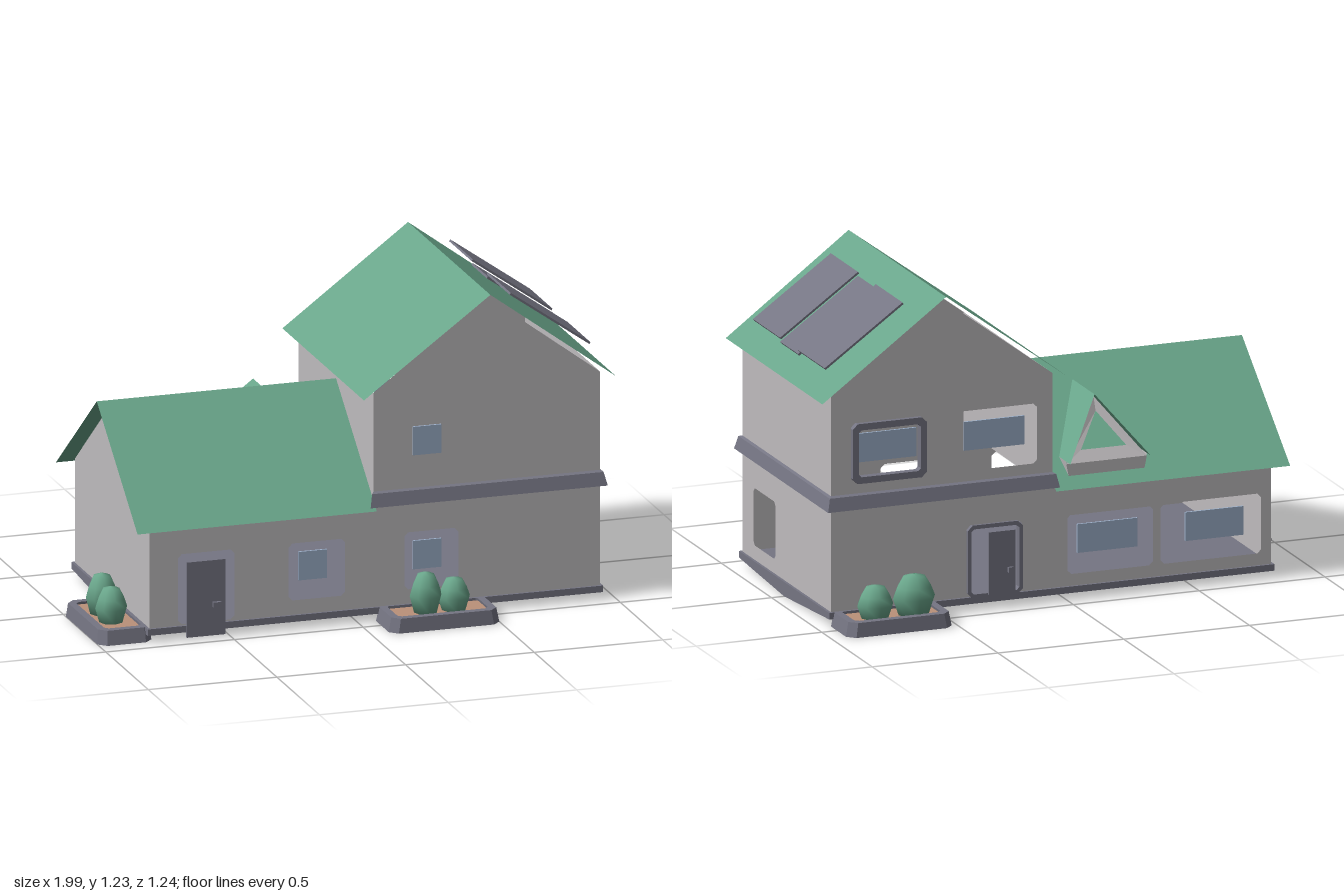
import * as THREE from 'three';

const mat = (name, color) => new THREE.MeshStandardMaterial({ name, color, side: THREE.DoubleSide });

export function createModel() {
  const house = new THREE.Group();
  house.name = 'house';
  const plaster = mat('plaster', 0xbfbcbe);
  const green = mat('green', 0x69a58a);
  const slate = mat('slate', 0x757583);
  const glass = mat('glass', 0x9db0ca);
  const soil = mat('soil', 0xbb9179);

  const add = (name, geo, material, parent = house) => {
    const m = new THREE.Mesh(geo, material);
    m.name = name;
    parent.add(m);
    return m;
  };
  const box = (name, material, x0, x1, y0, y1, z0, z1) =>
    add(name, new THREE.BoxGeometry(x1 - x0, y1 - y0, z1 - z0), material)
      .position.set((x0 + x1) / 2, (y0 + y1) / 2, (z0 + z1) / 2);

  // Rectangle with cut corners, as a shape or a hole
  const cutRect = (x0, x1, y0, y1, c = 0.02, Kind = THREE.Shape) =>
    new Kind([[x0 + c, y0], [x1 - c, y0], [x1, y0 + c], [x1, y1 - c], [x1 - c, y1], [x0 + c, y1], [x0, y1 - c], [x0, y0 + c]]
      .map(([x, y]) => new THREE.Vector2(x, y)));
  const polygon = (pts, holes = []) => {
    const s = new THREE.Shape(pts.map(([x, y]) => new THREE.Vector2(x, y)));
    for (const h of holes) s.holes.push(cutRect(...h, 0.015, THREE.Path));
    return s;
  };
  // Flat faces, each a fan of corners
  const sheet = (name, material, faces) => {
    const pos = [];
    for (const f of faces)
      for (let i = 1; i < f.length - 1; i++) pos.push(...f[0], ...f[i], ...f[i + 1]);
    const g = new THREE.BufferGeometry();
    g.setAttribute('position', new THREE.Float32BufferAttribute(pos, 3));
    g.computeVertexNormals();
    return add(name, g, material);
  };

  // Front and back walls, with openings
  const outline = [[-0.81, 0.04], [0.94, 0.04], [0.94, 0.88], [0.5, 1.21], [0.06, 0.88], [0.06, 0.455], [-0.81, 0.455]];
  const frontHoles = [[-0.7, -0.48, 0.06, 0.33], [-0.27, -0.05, 0.11, 0.33], [0.18, 0.39, 0.11, 0.33], [0.17, 0.39, 0.55, 0.77]];
  const backHoles = [[-0.77, -0.37, 0.1, 0.33], [-0.34, 0, 0.1, 0.33], [0.18, 0.4, 0.06, 0.33], [0.12, 0.44, 0.54, 0.77], [0.565, 0.86, 0.54, 0.77]];
  add('frontWall', new THREE.ShapeGeometry(polygon(outline, frontHoles)), plaster).position.z = 0.44;
  add('backWall', new THREE.ShapeGeometry(polygon(outline, backHoles)), plaster).position.z = -0.44;

  // Walls that face sideways, drawn as z against y
  const sideWall = (name, x, pts, holes) => {
    const m = add(name, new THREE.ShapeGeometry(polygon(pts, holes)), plaster);
    m.rotation.y = -Math.PI / 2;
    m.position.x = x;
  };
  sideWall('leftSideWall', 0.94, [[-0.44, 0.04], [0.44, 0.04], [0.44, 0.88], [-0.44, 0.88]], [[0.11, 0.33, 0.11, 0.33]]);
  sideWall('upperInnerWall', 0.06, [[-0.44, 0.43], [0.44, 0.43], [0.44, 0.88], [-0.44, 0.88]]);
  sideWall('wingGableWall', -0.81, [[-0.44, 0.04], [0.44, 0.04], [0.44, 0.455], [0, 0.8], [-0.44, 0.455]]);

  // Roofs
  sheet('mainRoof', green, [0.01, 0.99].map(x =>
    [[x, 0.868, 0.48], [0.5, 1.23, 0.485], [0.5, 1.23, -0.485], [x, 0.868, -0.48]]));
  sheet('wingRoof', green, [0.48, -0.48].map(z =>
    [[-0.87, 0.435, z], [0.06, 0.435, z], [0.06, 0.81, 0], [-0.87, 0.81, 0]]));

  // Dormer on the back slope
  sheet('dormerRoof', green, [0, -0.32].map(x =>
    [[x, 0.53, -0.47], [x, 0.53, -0.33], [-0.16, 0.74, -0.09], [-0.16, 0.74, -0.31]]));
  sheet('dormerGable', plaster, [
    [[0, 0.52, -0.43], [-0.16, 0.73, -0.3], [-0.16, 0.68, -0.32], [-0.07, 0.56, -0.4]],
    [[-0.32, 0.52, -0.43], [-0.16, 0.73, -0.3], [-0.16, 0.68, -0.32], [-0.25, 0.56, -0.4]],
    [[0, 0.52, -0.43], [-0.07, 0.56, -0.4], [-0.25, 0.56, -0.4], [-0.32, 0.52, -0.43]],
    [[0, 0.52, -0.43], [-0.32, 0.52, -0.43], [-0.31, 0.47, -0.43], [-0.01, 0.47, -0.43]],
    [[-0.01, 0.47, -0.43], [0, 0.53, -0.43], [0, 0.53, -0.35]],
    [[-0.31, 0.47, -0.43], [-0.32, 0.53, -0.43], [-0.32, 0.53, -0.35]],
  ]);

  // Solar panels and the lower bridge between them
  const tilt = Math.atan2(0.22, 0.31);
  for (const [name, z, w, drop] of [['solarPanelFront', 0.22, 0.27, 0], ['solarPanelBack', -0.225, 0.265, 0], ['solarBridge', -0.005, 0.18, 0.015]]) {
    const m = add(name, new THREE.BoxGeometry(0.38, 0.008, w), slate);
    m.rotation.z = -tilt;
    m.position.set(0.775, 1.075 - drop, z);
  }

  // Belt course around the tall part, flaring downward
  const a = [0.05, 0.95], b = [0.04, 0.962];
  const ring = (x, z, y) => [[x[0], y, z], [x[1], y, z], [x[1], y, -z], [x[0], y, -z]];
  const levels = [ring([0.06, 0.94], 0.44, 0.5), ring(a, 0.455, 0.495), ring(b, 0.468, 0.445), ring([0.06, 0.94], 0.44, 0.45)];
  const belt = [];
  for (let l = 0; l < 3; l++)
    for (let s = 0; s < 3; s++)
      belt.push([levels[l][s], levels[l][s + 1], levels[l + 1][s + 1], levels[l + 1][s]]);
  sheet('beltCourse', slate, belt);

  // Foundation with a shallow keel
  const keel = polygon([[-0.45, 0.03], [0, 0], [0.45, 0.03], [0.45, 0.055], [-0.45, 0.055]]);
  const foundation = add('foundation', new THREE.ExtrudeGeometry(keel, { depth: 1.77, bevelEnabled: false }), slate);
  foundation.rotation.y = -Math.PI / 2;
  foundation.position.x = 0.95;

  // Window panes set inside the openings
  for (const [x0, x1, y0, y1, z] of [
    [-0.215, -0.105, 0.17, 0.28, 0.39], [0.23, 0.34, 0.17, 0.28, 0.39], [0.23, 0.34, 0.61, 0.72, 0.39],
    [-0.71, -0.48, 0.17, 0.28, -0.41], [-0.29, -0.05, 0.17, 0.28, -0.41],
    [0.16, 0.4, 0.61, 0.72, -0.41], [0.59, 0.82, 0.61, 0.72, -0.41]])
    box('windowPane', glass, x0, x1, y0, y1, z - 0.004, z + 0.004);

  // Frames on the back wall
  const frame = (name, x0, x1, y0, y1, t, z, depth) => {
    const s = cutRect(x0, x1, y0, y1);
    s.holes.push(cutRect(x0 + t, x1 - t, y0 + t, y1 - t, 0.01, THREE.Path));
    add(name, new THREE.ExtrudeGeometry(s, { depth, bevelEnabled: false }), slate).position.z = z;
  };
  frame('upperWindowFrame', 0.565, 0.86, 0.54, 0.77, 0.025, -0.458, 0.03);
  frame('backDoorFrame', 0.18, 0.4, 0.05, 0.33, 0.015, -0.45, 0.03);

  // Doors with handles
  box('frontDoor', slate, -0.67, -0.52, 0.01, 0.3, 0.445, 0.455);
  box('frontDoorHandle', slate, -0.57, -0.54, 0.12, 0.14, 0.455, 0.468);
  box('backDoor', slate, 0.215, 0.32, 0.06, 0.3, -0.46, -0.45);
  box('backDoorHandle', slate, 0.225, 0.245, 0.14, 0.16, -0.47, -0.46);

  // Planters: a tapering rim, soil and a pair of bushes
  const bushProfile = [[0.001, 0.04], [0.045, 0.045], [0.062, 0.11], [0.05, 0.15], [0.032, 0.19], [0.001, 0.2]]
    .map(([r, y]) => new THREE.Vector2(r, y));
  const planter = (name, cx, cz, w, d, bushes) => {
    const g = new THREE.Group();
    g.name = name;
    g.position.set(cx, 0, cz);
    house.add(g);
    const s = cutRect(-w / 2, w / 2, -d / 2, d / 2, 0.03);
    const t = 0.03;
    s.holes.push(cutRect(-w / 2 + t, w / 2 - t, -d / 2 + t, d / 2 - t, 0.015, THREE.Path));
    const rim = new THREE.ExtrudeGeometry(s, { depth: 0.055, bevelEnabled: false }).rotateX(-Math.PI / 2);
    const p = rim.attributes.position;
    for (let i = 0; i < p.count; i++)
      if (p.getY(i) > 0.03) p.setXYZ(i, p.getX(i) * 0.95, p.getY(i), p.getZ(i) * 0.95);
    rim.computeVertexNormals();
    add('planterRim', rim, slate, g);
    const bed = (nm, y, m) =>
      add(nm, new THREE.ShapeGeometry(cutRect(-w / 2 + 0.02, w / 2 - 0.02, -d / 2 + 0.02, d / 2 - 0.02)).rotateX(-Math.PI / 2), m, g).position.y = y;
    bed('planterSoil', 0.045, soil);
    bed('planterBottom', 0.004, slate);
    for (const [x, z, sx, sy, sz] of bushes) {
      const m = add('bush', new THREE.LatheGeometry(bushProfile, 8), green, g);
      m.position.set(x, 0, z);
      m.scale.set(sx, sy, sz);
    }
  };
  planter('frontPlanter', 0.285, 0.515, 0.43, 0.21, [[-0.05, 0.01, 1, 1, 1], [0.06, 0.01, 1, 0.85, 0.95]]);
  planter('backPlanter', 0.73, -0.515, 0.42, 0.21, [[-0.08, -0.025, 1.35, 1, 1.1], [0.07, -0.015, 1.15, 0.85, 1]]);
  planter('sidePlanter', -0.895, 0.215, 0.21, 0.43, [[-0.01, -0.05, 1, 1, 1], [-0.01, 0.06, 1, 0.9, 1]]);

  return house;
}
